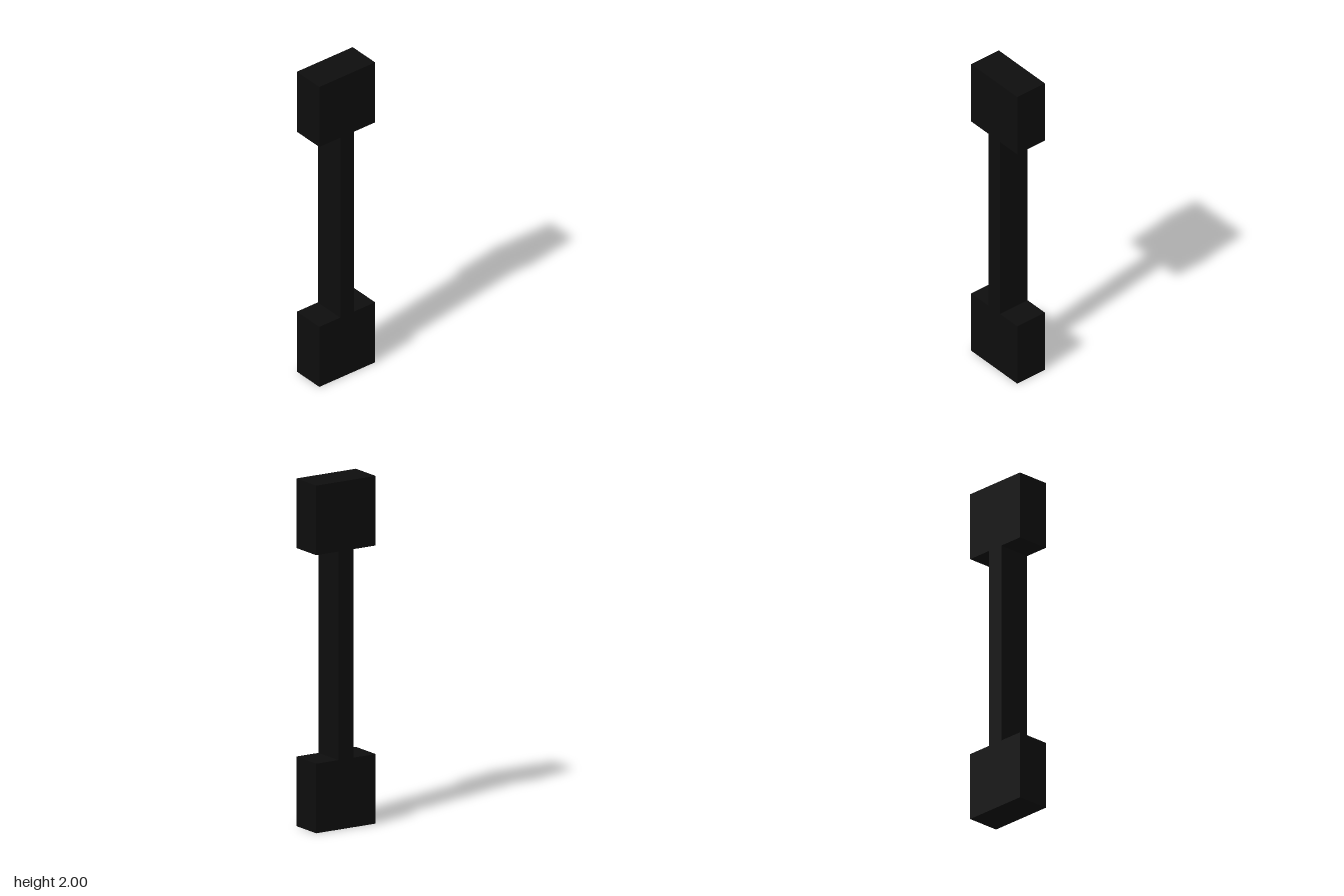
import * as THREE from 'three';

export function createModel() {
  const group = new THREE.Group();
  group.name = 'dumbbellBar';

  const width = 0.4, depth = 0.2, height = 2, blockHeight = 0.4, barWidth = 0.1;
  const w = width / 2, b = barWidth / 2, top = height - blockHeight;

  // One outline: wide block, narrow bar, wide block
  const right = [[w, 0], [w, blockHeight], [b, blockHeight], [b, top], [w, top], [w, height]];
  const left = right.map(([x, y]) => [-x, y]).reverse();
  const outline = new THREE.Shape([...right, ...left].map(([x, y]) => new THREE.Vector2(x, y)));

  const geometry = new THREE.ExtrudeGeometry(outline, { depth, bevelEnabled: false });
  geometry.translate(0, 0, -depth / 2);

  const body = new THREE.Mesh(geometry, new THREE.MeshStandardMaterial({ color: 0x0d0d0d }));
  body.name = 'barWithEndBlocks';
  group.add(body);
  return group;
}
